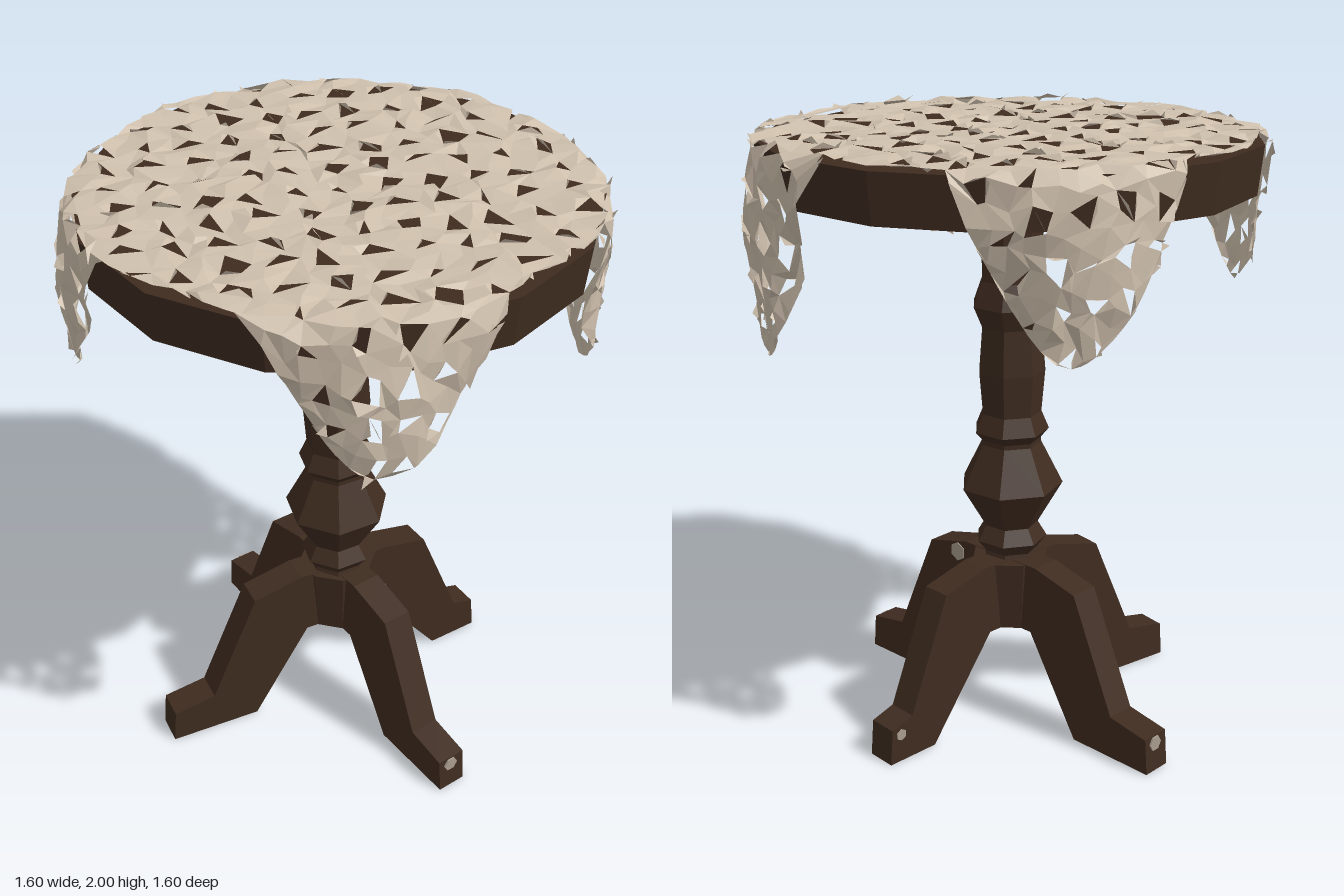
import * as THREE from 'three';

const mat = (name, color, side = THREE.FrontSide) => {
  const m = new THREE.MeshStandardMaterial({ color, flatShading: true, side });
  m.name = name;
  return m;
};

// Small seeded generator for the worn, irregular look
function seeded(seed) {
  return () => {
    seed = (seed * 1664525 + 1013904223) % 4294967296;
    return seed / 4294967296;
  };
}

const RIM = 0.755; // radius where the cloth starts to fold over
const DEG = Math.PI / 180;
// Hanging corners of the cloth: [angle, length past the rim, bluntness]
const CORNERS = [[-23, 0.665, 2.2], [67, 0.5, 1.75], [157, 0.54, 1.75], [254, 0.56, 1.75]];

// How far the cloth reaches from the centre in a given direction
function clothReach(a) {
  let reach = RIM + 0.005 + 0.012 * Math.sin(a * 9);
  for (const [deg, len, blunt] of CORNERS) {
    const d = a - deg * DEG;
    const t = Math.abs(Math.atan2(Math.sin(d), Math.cos(d))) / (25.5 * DEG);
    if (t < 1) reach = Math.max(reach, RIM + len * (1 - Math.pow(t, blunt)));
  }
  return reach;
}

// Lays a flat cloth point over the round table edge
function drape(x, z, lift) {
  const a = Math.atan2(z, x), r = Math.min(Math.hypot(x, z), clothReach(a));
  const bend = 0.036, over = r - RIM, arc = bend * Math.PI / 2;
  let radius = r, y = 1.975 + lift;
  if (over > 0) {
    const t = Math.min(over / bend, Math.PI / 2);
    const hang = Math.max(0, over - arc);
    // Corners belly outward, and their sides curl in below the table
    const wave = Math.cos(8 * (a - 67 * DEG));
    const belly = 0.035 * Math.max(0, wave) * Math.sin(Math.min(hang, 0.5) * Math.PI / 0.44);
    const curl = 0.36 * Math.max(0, hang - 0.13) * Math.min(0, wave);
    radius = RIM + bend * Math.sin(t) + lift * 0.8 + belly + curl;
    y = 1.975 - bend * (1 - Math.cos(t)) - hang + lift * (1 - t / 1.6);
  }
  return new THREE.Vector3(radius * Math.cos(a), y, radius * Math.sin(a));
}

// Torn cloth: a jittered grid with evenly spread holes and curled flaps
function clothGeometry() {
  const rand = seeded(7), n = 50, cell = 0.058, pos = [], grid = [];
  for (let i = 0; i <= n; i++) {
    grid.push([]);
    for (let j = 0; j <= n; j++) {
      const x = (i - n / 2 + (rand() - 0.5) * 0.7) * cell;
      const z = (j - n / 2 + (rand() - 0.5) * 0.7) * cell;
      const inside = Math.hypot(x, z) < clothReach(Math.atan2(z, x));
      grid[i].push({ inside, p: drape(x, z, (rand() - 0.5) * 0.018) });
    }
  }
  const put = (...pts) => pts.forEach((p) => pos.push(p.x, p.y, p.z));
  const flap = (a, b, c) => {
    const mid = a.clone().add(b).multiplyScalar(0.5);
    const out = new THREE.Vector3().subVectors(b, a).cross(new THREE.Vector3().subVectors(c, a)).normalize();
    const tip = mid.clone().lerp(c, (rand() - 0.7) * 0.9).addScaledVector(out, 0.006 + rand() * 0.012);
    tip.y = Math.min(tip.y, 2);
    put(a, b, tip);
  };
  for (let i = 0; i < n; i++) {
    for (let j = 0; j < n; j++) {
      const a = grid[i][j], b = grid[i][j + 1], c = grid[i + 1][j + 1], d = grid[i + 1][j];
      const hole = (i + 2 * j) % 5 === 0;
      const wide = rand() < 0.4;
      const tris = rand() < 0.5 ? [[a, b, c], [a, c, d]] : [[a, b, d], [b, c, d]];
      tris.forEach((t, k) => {
        if (!t.some((v) => v.inside)) return;
        const [p, q, r] = t.map((v) => v.p);
        if (hole && (wide || k === 0)) flap(p, q, r);
        else put(p, q, r);
      });
    }
  }
  const g = new THREE.BufferGeometry();
  g.setAttribute('position', new THREE.Float32BufferAttribute(pos, 3));
  g.computeVertexNormals();
  return g;
}

// Side outline of a leg, extruded to its thickness, from heel to toe radius
function legGeometry(heel, toe) {
  const outline = new THREE.Shape([
    [0.04, 0.567], [0.04, 0.33], [0.14, 0.33], [heel, 0.005], [toe, 0.005],
    [toe - 0.01, 0.125], [(heel + toe) / 2, 0.15], [0.33, 0.525], [0.16, 0.567],
  ].map(([s, y]) => new THREE.Vector2(s, y)));
  return new THREE.ExtrudeGeometry(outline, { depth: 0.1, bevelEnabled: false }).translate(0, 0, -0.05);
}

export function createModel() {
  const group = new THREE.Group();
  const wood = mat('darkWood', 0x3f2c20);
  const cloth = mat('agedCloth', 0xcfc0ad, THREE.DoubleSide);
  const chip = mat('bareChip', 0xa89c8e);

  const add = (name, geo, material, parent = group) => {
    const m = new THREE.Mesh(geo, material);
    m.name = name;
    parent.add(m);
    return m;
  };

  // Round top with a few coarse facets
  add('tableTop', new THREE.CylinderGeometry(0.775, 0.76, 0.15, 14), wood).position.y = 1.88;

  // Turned pedestal
  const profile = [
    [0, 0.54], [0.1, 0.54], [0.09, 0.58], [0.12, 0.62], [0.09, 0.67], [0.172, 0.81], [0.1, 0.955],
    [0.1, 0.97], [0.125, 1.0], [0.1, 1.06], [0.112, 1.2], [0.1, 1.35],
    [0.13, 1.42], [0.1, 1.5], [0.105, 1.82], [0, 1.82],
  ].map(([r, y]) => new THREE.Vector2(r, y));
  add('pedestal', new THREE.LatheGeometry(profile, 7, 0.3), wood).position.z = 0.013;

  // Block that joins the legs
  const hub = add('legHub', new THREE.CylinderGeometry(0.13, 0.11, 0.235, 8), wood);
  hub.position.y = 0.4475;
  hub.rotation.y = Math.PI / 8;

  // Four splayed legs with kicked-out feet: [name, turn in degrees, heel, toe]
  const legs = {};
  for (const [name, turn, heel, toe] of [
    ['frontLeftLeg', -39.5, 0.34, 0.648], ['frontRightLeg', -140.5, 0.34, 0.65],
    ['backLeftLeg', 47, 0.39, 0.575], ['backRightLeg', 139.5, 0.34, 0.65],
  ]) {
    const leg = legs[name] = new THREE.Group();
    leg.name = name;
    leg.rotation.y = turn * DEG;
    add('legBody', legGeometry(heel, toe), wood, leg);
    group.add(leg);
  }

  // Worn spots: thin discs on toe ends and leg sides
  const spot = (leg, radius, x, y, z, onToe) => {
    const m = add('wornSpot', new THREE.CylinderGeometry(radius, radius, 0.006, 6), chip, legs[leg]);
    if (onToe) m.rotation.z = Math.PI / 2;
    else m.rotation.x = Math.PI / 2;
    m.position.set(x, y, z);
  };
  spot('frontLeftLeg', 0.026, 0.643, 0.1, 0.005, true);
  spot('backRightLeg', 0.026, 0.645, 0.1, 0.005, true);
  spot('frontLeftLeg', 0.034, 0.2, 0.52, -0.05, false);
  spot('backLeftLeg', 0.02, 0.53, 0.1, -0.05, false);

  // Tattered cloth over the top, with four hanging corners
  add('tatteredCloth', clothGeometry(), cloth);
  return group;
}
